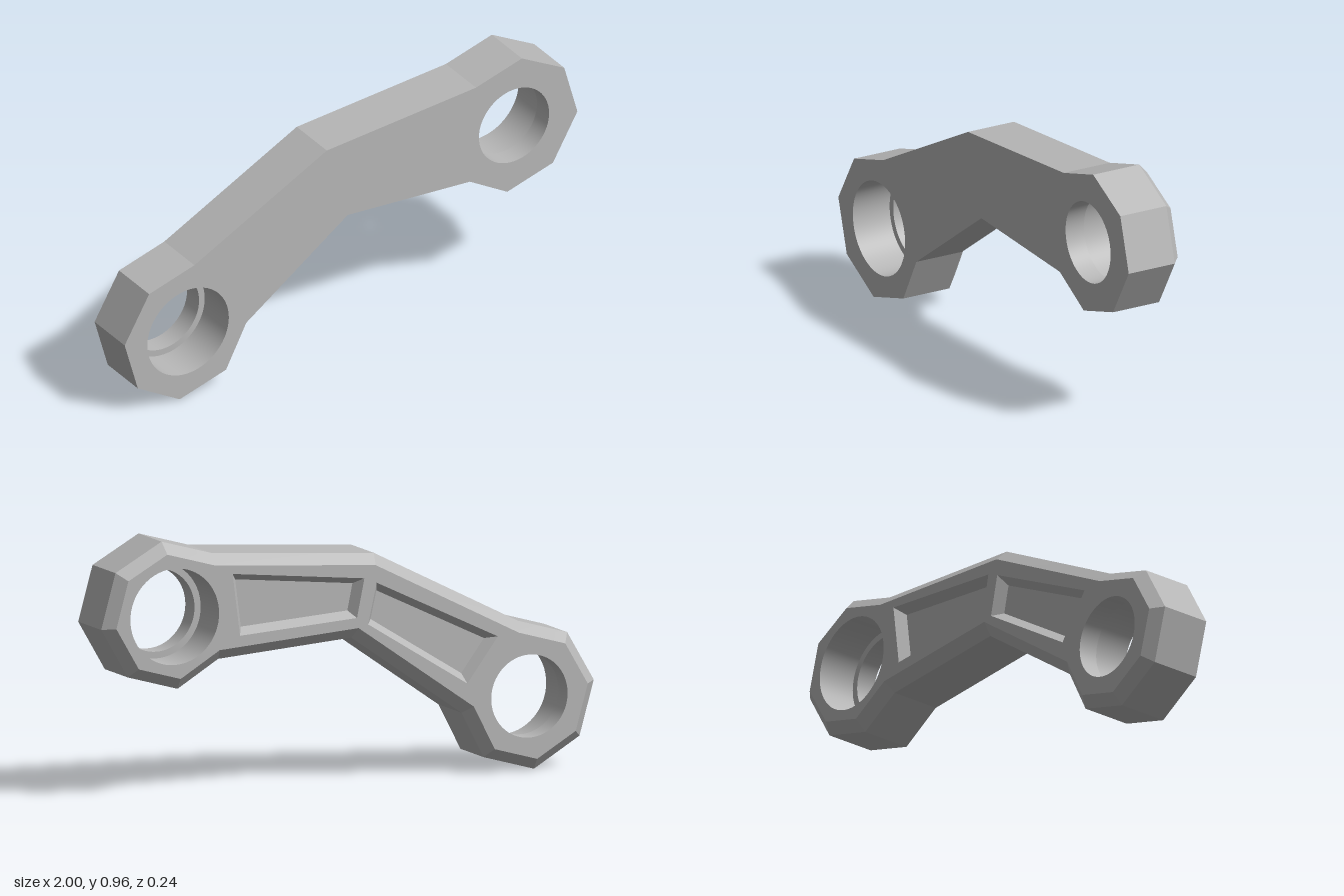
import * as THREE from 'three';
import { toCreasedNormals } from 'three/addons/utils/BufferGeometryUtils.js';

const FRONT = 0.12, BACK = -0.12, BEVEL = 0.04;
const V = (x, y) => new THREE.Vector2(x, y);

// Outer profile, counter-clockwise seen from the front
const outline = [
  [-1, 0.315], [-0.942, 0.11], [-0.757, 0], [-0.552, 0.058], [-0.463, 0.23], [-0.015, 0.543],
  [0.525, 0.503], [0.69, 0.403], [0.892, 0.46], [1, 0.645], [0.942, 0.853], [0.755, 0.957],
  [0.552, 0.9], [-0.107, 0.853], [-0.692, 0.557], [-0.892, 0.5],
].map(p => V(...p));

// Tapered recesses on the back of each arm
const pockets = [
  [[0.485, 0.823], [-0.05, 0.768], [-0.02, 0.622], [0.455, 0.59]],
  [[-0.1, 0.748], [-0.592, 0.512], [-0.468, 0.345], [-0.065, 0.595]],
].map(loop => loop.map(p => V(...p)));

// Stepped bores: radius and depth from front to back
const bores = [
  { name: 'rightBore', x: -0.72, y: 0.28, steps: [[0.18, FRONT], [0.18, -0.04], [0.155, -0.04], [0.155, BACK]] },
  { name: 'leftBore', x: 0.72, y: 0.68, steps: [[0.155, FRONT], [0.155, 0.04], [0.18, 0.04], [0.18, BACK]] },
];

function circle(x, y, r, n = 64) {
  return Array.from({ length: n }, (_, i) => {
    const a = (i / n) * Math.PI * 2;
    return V(x + r * Math.cos(a), y + r * Math.sin(a));
  });
}

// Move every edge of a counter-clockwise loop inwards by d
function inset(loop, d) {
  const n = loop.length;
  const normal = (a, b) => V(a.y - b.y, b.x - a.x).normalize();
  return loop.map((p, i) => {
    const n1 = normal(loop[(i + n - 1) % n], p), n2 = normal(p, loop[(i + 1) % n]);
    return p.clone().addScaledVector(n1.clone().add(n2), d / (1 + n1.dot(n2)));
  });
}

// Walls joining loops [points, z] from front to back; inward walls face the middle
function walls(rings, inward = false) {
  const pos = [];
  for (let k = 0; k + 1 < rings.length; k++) {
    const [f, zf] = rings[k], [b, zb] = rings[k + 1];
    f.forEach((p, i) => {
      const j = (i + 1) % f.length;
      const A = [p.x, p.y, zf], B = [f[j].x, f[j].y, zf];
      const C = [b[j].x, b[j].y, zb], D = [b[i].x, b[i].y, zb];
      pos.push(...(inward ? [A, B, D, B, C, D] : [A, D, B, B, D, C]).flat());
    });
  }
  const g = new THREE.BufferGeometry();
  g.setAttribute('position', new THREE.Float32BufferAttribute(pos, 3));
  return toCreasedNormals(g, 0.15);
}

// Flat face with holes, turned to the back on request
function face(loop, holes, z, toBack) {
  const shape = new THREE.Shape(loop);
  shape.holes = holes.map(h => new THREE.Path(h));
  const g = new THREE.ShapeGeometry(shape).translate(0, 0, z);
  if (toBack) {
    g.index.array.reverse();
    g.computeVertexNormals();
  }
  return g;
}

export function createModel() {
  const group = new THREE.Group();
  group.name = 'linkArm';
  const metal = new THREE.MeshStandardMaterial({ color: 0xb8b8b8 });
  metal.name = 'greyMetal';
  const add = (name, geometry) => {
    const mesh = new THREE.Mesh(geometry, metal);
    mesh.name = name;
    group.add(mesh);
  };

  // Body with a bevelled back edge
  const backLoop = inset(outline, BEVEL);
  const holesAt = i => bores.map(b => circle(b.x, b.y, b.steps.at(i)[0]));
  add('frontFace', face(outline, holesAt(0), FRONT, false));
  add('sideWalls', walls([[outline, FRONT], [outline, BACK + BEVEL]]));
  add('backBevel', walls([[outline, BACK + BEVEL], [backLoop, BACK]]));
  add('backFace', face(backLoop, [...holesAt(-1), ...pockets], BACK, true));

  // Stepped bores through both ends
  for (const b of bores) {
    add(b.name, walls(b.steps.map(([r, z]) => [circle(b.x, b.y, r), z]), true));
  }

  // Recesses with sloping walls
  pockets.forEach((loop, i) => {
    const side = i === 0 ? 'left' : 'right';
    const floor = inset(loop, 0.025);
    add(side + 'PocketWalls', walls([[floor, BACK + 0.04], [loop, BACK]], true));
    add(side + 'PocketFloor', face(floor, [], BACK + 0.04, true));
  });

  return group;
}
